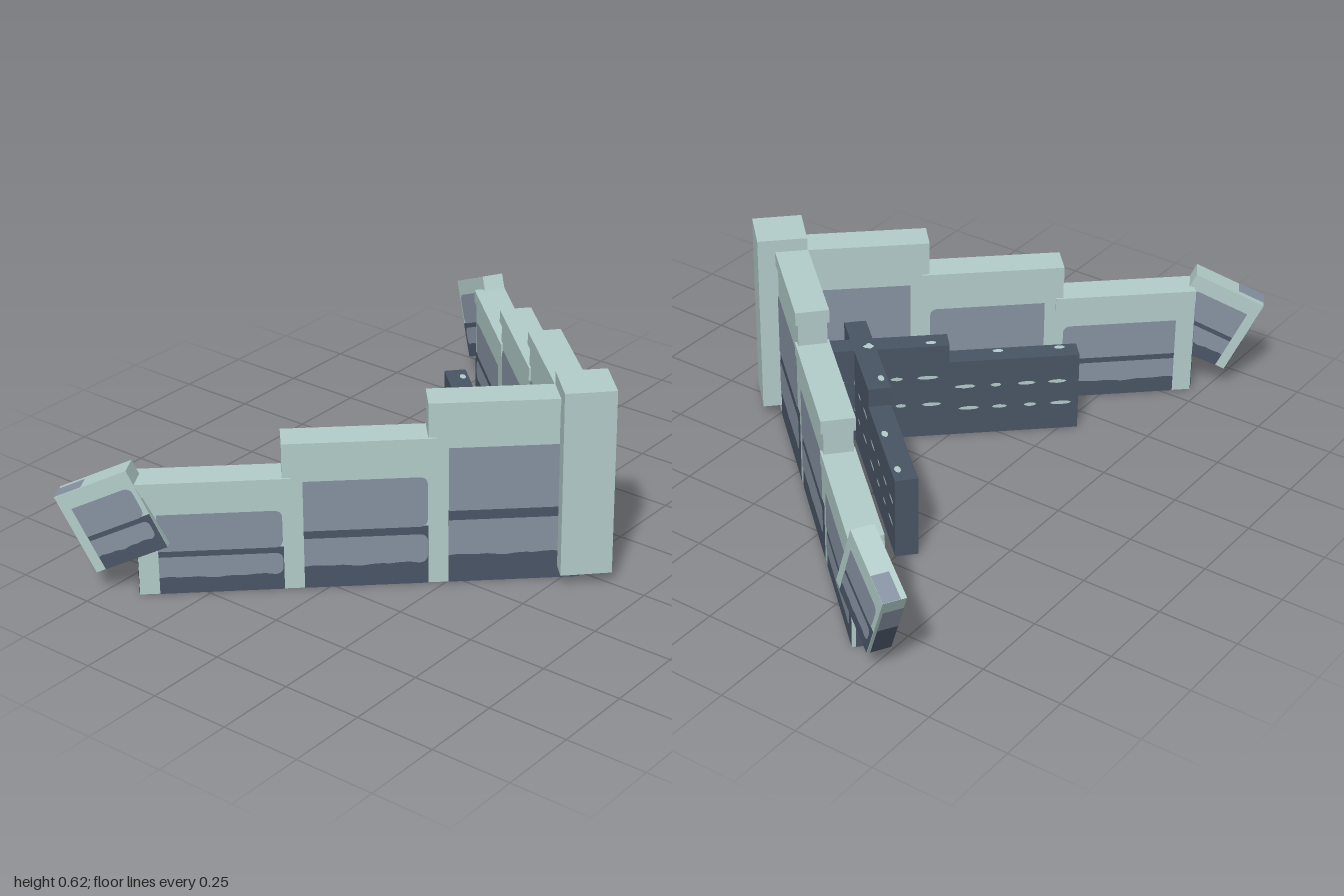
import * as THREE from 'three';

const pale = new THREE.MeshStandardMaterial({ name: 'paleStone', color: 0xb4cecb, side: THREE.DoubleSide });
const slate = new THREE.MeshStandardMaterial({ name: 'greyPanel', color: 0x8793a3, side: THREE.DoubleSide });
const dark = new THREE.MeshStandardMaterial({ name: 'darkStone', color: 0x4a5666, side: THREE.DoubleSide });

const ANGLE = 0.831;            // yaw of the two wings
const LENGTH = 0.44, PITCH = 0.417;

function add(parent, name, geometry, material, x = 0, y = 0, z = 0) {
  const mesh = new THREE.Mesh(geometry, material);
  mesh.name = name;
  mesh.position.set(x, y, z);
  parent.add(mesh);
  return mesh;
}

// Box given by its limits; the underside may have its own colour
function block(parent, name, x0, x1, y0, y1, depth, material, under = material) {
  const m = [material, material, material, under, material, material];
  return add(parent, name, new THREE.BoxGeometry(x1 - x0, y1 - y0, depth),
    under === material ? material : m, (x0 + x1) / 2, (y0 + y1) / 2, 0);
}

function rect(x0, x1, y0, y1) {
  return new THREE.Shape([[x0, y0], [x1, y0], [x1, y1], [x0, y1]].map(p => new THREE.Vector2(...p)));
}

// Panel with rounded corners on one side and an optional worn lower edge
function panel(x0, x1, y0, y1, wear) {
  const r = Math.min(0.025, (y1 - y0) * 0.35);
  const s = new THREE.Shape();
  s.moveTo(x0, y1);
  for (let i = 0; i <= 12; i++) {
    const x = x0 + (x1 - r - x0) * i / 12;
    s.lineTo(x, y0 + wear * (Math.sin(i * 1.9) + Math.sin(i * 0.8)));
  }
  s.quadraticCurveTo(x1, y0, x1, y0 + r);
  s.lineTo(x1, y1 - r);
  s.quadraticCurveTo(x1, y1, x1 - r, y1);
  return s;
}

// Dark base and two grey panels on both faces of a wall
function facing(parent, x0, len, lo, hi, h, depth) {
  const a = Math.max(lo, x0 + len * 0.132), b = Math.min(hi, x0 + len * 0.943);
  for (const side of [1, -1]) {
    const z = side * depth / 2;
    add(parent, 'darkBase', new THREE.ShapeGeometry(rect(a, hi, 0, h * 0.44)), dark, 0, 0, z + side * 0.0015);
    add(parent, 'upperPanel', new THREE.ShapeGeometry(panel(a, b, h * 0.435, h * 0.81, 0)), slate, 0, 0, z + side * 0.003);
    add(parent, 'lowerPanel', new THREE.ShapeGeometry(panel(a, b, h * 0.165, h * 0.378, 0.002)), slate, 0, 0, z + side * 0.003);
  }
}

// Dark base and grey panel on the end of a wall
function endFacing(parent, x, h, depth) {
  const w = depth / 2;
  const base = add(parent, 'endBase', new THREE.ShapeGeometry(rect(-w, w * 0.75, 0, h * 0.44)), dark, x, 0, 0);
  const top = add(parent, 'endPanel', new THREE.ShapeGeometry(rect(-w, w * 0.75, h * 0.44, h * 0.81)), slate, x, 0, 0);
  base.rotation.y = top.rotation.y = -Math.PI / 2;
}

function wing(side) {
  const g = new THREE.Group();
  g.name = side > 0 ? 'leftWing' : 'rightWing';
  g.position.set(-0.011 * side, 0, 0.507);
  g.rotation.y = ANGLE * side;
  // three stepped wall sections, each with a coping
  [0.538, 0.428, 0.318].forEach((h, i) => {
    const trim = i ? LENGTH - PITCH : 0;
    const near = PITCH * i, far = near + LENGTH;
    const x0 = side > 0 ? near : -far;
    const lo = side > 0 ? near + trim : -far;
    const hi = side > 0 ? far : -near - trim;
    const s = new THREE.Group();
    s.name = 'wallSection';
    g.add(s);
    block(s, 'wall', lo, hi, 0, h, 0.086, pale, dark);
    block(s, 'coping', x0, x0 + LENGTH, h, h + 0.042, 0.1, pale);
    facing(s, x0, LENGTH, lo, hi, h, 0.086);
    if (i === 2) endFacing(s, side * (far + 0.0015), h, 0.086);
  });
  return g;
}

// Broken block tipped over at the end of a wing
function brokenEnd(side) {
  const g = new THREE.Group();
  g.name = 'brokenEnd';
  const L = 0.235, H = 0.26, W = 0.07;
  const body = new THREE.Group();
  body.position.y = -H / 2;
  g.add(body);
  block(body, 'brokenBlock', -L / 2, L / 2, 0, H, W, pale, dark);
  facing(body, -L / 2, L, -L / 2, L / 2, H, W);
  endFacing(body, side * (L / 2 + 0.0015), H, W);
  const a = side > 0 ? 0.03 : -L / 2, b = side > 0 ? L / 2 : -0.03;
  const patch = add(body, 'topPatch', new THREE.ShapeGeometry(rect(a, b, -W / 2, W / 4)), slate, 0, H + 0.0015, 0);
  patch.rotation.x = -Math.PI / 2;
  g.position.set(0.891 * side, 0.236, -0.48);
  g.rotation.set(0, side * Math.PI / 3, -side * 0.436, 'YXZ');
  return g;
}

// Low dark wall behind each wing, in two heights, with pale chips
function innerWall(side) {
  const g = new THREE.Group();
  g.name = 'innerWall';
  g.position.set(-0.095 * side, 0, 0.32);
  g.rotation.y = ANGLE * side;
  const W = 0.068;
  [[0, 0.4, 0.32], [0.4, 0.8, 0.26]].forEach(([a, b, h], k) => {
    block(g, 'lowWall', side > 0 ? a : -b, side > 0 ? b : -a, 0, h, W, dark);
    for (let i = 0; i < 4; i++) {
      const x = side * (a + 0.06 + i * 0.095);
      [0.36, 0.66].forEach((f, row) => {
        const len = 0.05 + 0.018 * Math.sin(i * 2.3 + row + k);
        for (const s of [1, -1]) {
          const chip = add(g, 'chip', new THREE.CircleGeometry(0.5, 8), pale,
            x + row * 0.012, h * f, s * (W / 2 + 0.002));
          chip.scale.set(len, 0.013, 1);
        }
      });
      if (i % 2) {
        const chip = add(g, 'topChip', new THREE.CircleGeometry(0.5, 7), pale, x, h + 0.002, 0.015 * (k ? 1 : -1));
        chip.rotation.x = -Math.PI / 2;
        chip.scale.set(0.035, 0.02, 1);
      }
    }
  });
  return g;
}

export function createModel() {
  const model = new THREE.Group();
  model.name = 'cornerWall';
  // corner pillar, set edge-on to the front
  const pillar = block(model, 'cornerPillar', -0.0755, 0.0755, 0.037, 0.62, 0.151, pale);
  pillar.position.z = 0.53;
  pillar.rotation.y = Math.PI / 4;
  for (const side of [1, -1]) model.add(wing(side), brokenEnd(side), innerWall(side));
  return model;
}
